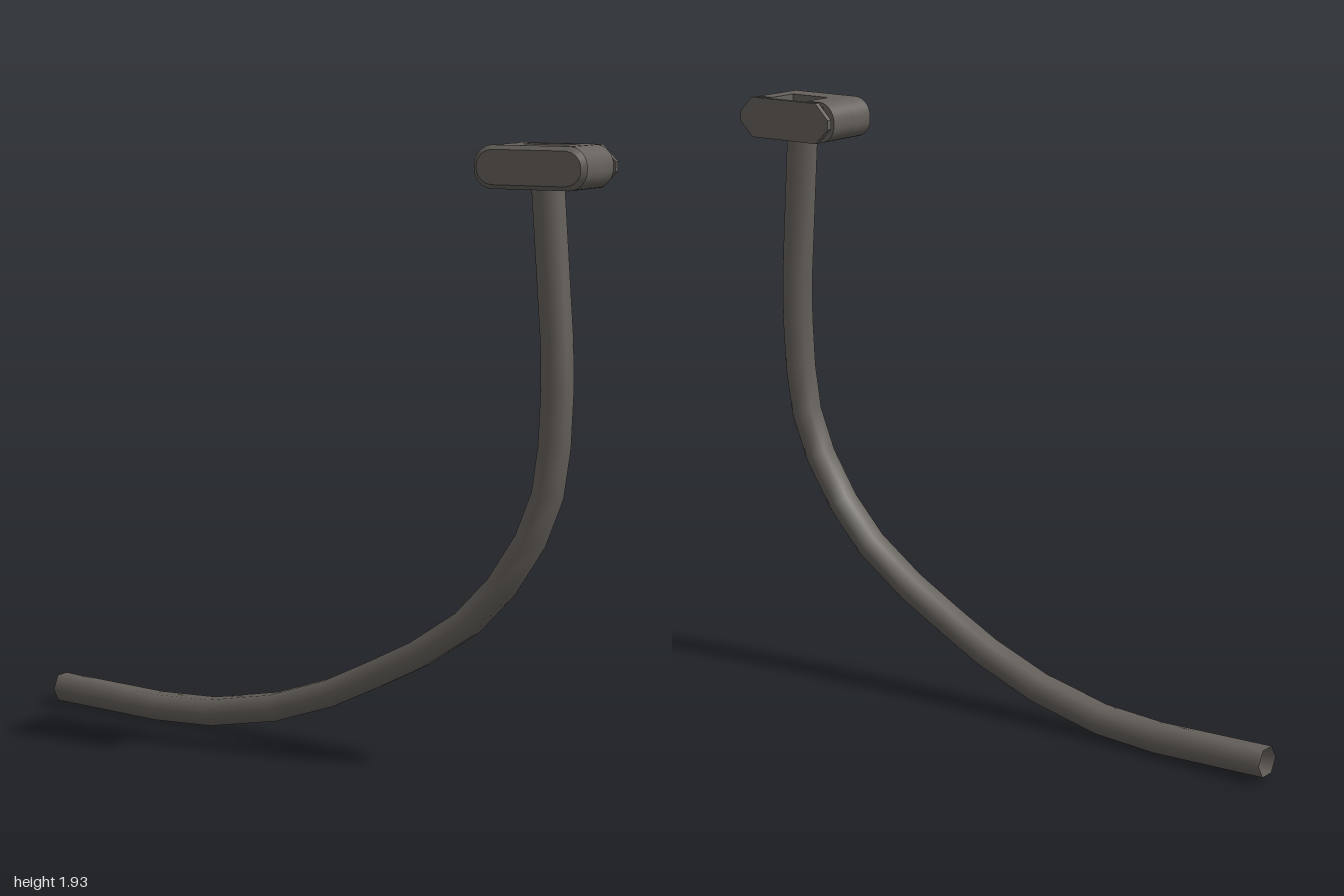
import * as THREE from 'three';
import { toCreasedNormals } from 'three/addons/utils/BufferGeometryUtils.js';

const X0 = 0.623, X1 = 0.993, Y0 = 1.805, Y1 = 1.935;

// Rectangle with optionally rounded left and right ends
function block(x0, x1, rl, rr) {
  const s = new THREE.Shape();
  s.moveTo(x0 + rl, Y0);
  s.lineTo(x1 - rr, Y0);
  if (rr) s.absarc(x1 - rr, Y0 + rr, rr, -Math.PI / 2, 0, false);
  s.lineTo(x1, Y1 - rr);
  if (rr) s.absarc(x1 - rr, Y1 - rr, rr, 0, Math.PI / 2, false);
  s.lineTo(x0 + rl, Y1);
  if (rl) s.absarc(x0 + rl, Y1 - rl, rl, Math.PI / 2, Math.PI, false);
  s.lineTo(x0, Y0 + rl);
  if (rl) s.absarc(x0 + rl, Y0 + rl, rl, Math.PI, Math.PI * 1.5, false);
  return s;
}

function extrude(shape, z0, z1) {
  const g = new THREE.ExtrudeGeometry(shape, { depth: z1 - z0, bevelEnabled: false, curveSegments: 5 });
  g.translate(0, 0, z0);
  return toCreasedNormals(g, 0.6);
}

// Open six-sided tube following a bent path
function hoseGeometry(path, radius, sides) {
  const pts = path.map(p => new THREE.Vector3(...p));
  const pos = [], idx = [];
  const zAxis = new THREE.Vector3(0, 0, 1);
  pts.forEach((c, i) => {
    const t = pts[Math.min(i + 1, pts.length - 1)].clone().sub(pts[Math.max(i - 1, 0)]);
    if (i === 0) t.set(1, 0, 0);
    t.z = 0;
    const n = zAxis.clone().cross(t.normalize());
    for (let j = 0; j < sides; j++) {
      const a = j / sides * Math.PI * 2;
      const p = c.clone().addScaledVector(zAxis, radius * Math.cos(a)).addScaledVector(n, radius * Math.sin(a));
      pos.push(p.x, p.y, p.z);
      if (i < pts.length - 1) {
        const k = (j + 1) % sides, A = i * sides, B = A + sides;
        idx.push(A + j, B + j, A + k, B + j, B + k, A + k);
      }
    }
  });
  const g = new THREE.BufferGeometry();
  g.setAttribute('position', new THREE.Float32BufferAttribute(pos, 3));
  g.setIndex(idx);
  g.computeVertexNormals();
  return g;
}

export function createModel() {
  const group = new THREE.Group();
  const rubber = new THREE.MeshStandardMaterial({ color: 0x66615c, side: THREE.DoubleSide });
  rubber.name = 'dark grey rubber';
  const add = (name, geometry, parent = group) => {
    const m = new THREE.Mesh(geometry, rubber);
    m.name = name;
    parent.add(m);
    return m;
  };

  // Curved hose, open at both ends
  add('hose', hoseGeometry([
    [-1, 0.06, -0.03], [-0.6, 0.045, -0.022], [-0.38, 0.055, -0.015], [-0.13, 0.105, -0.006],
    [0.08, 0.18, 0], [0.24, 0.26, 0.002], [0.4, 0.345, 0.004], [0.565, 0.46, 0.004], [0.68, 0.585, 0.002],
    [0.775, 0.735, 0], [0.83, 0.88, -0.003], [0.85, 1.03, -0.006], [0.855, 1.2, -0.01],
    [0.85, 1.35, -0.013], [0.81, 1.81, -0.022], [0.808, 1.88, -0.025],
  ], 0.05, 6));

  // U-shaped clamp around the hose end
  const clamp = new THREE.Group();
  clamp.name = 'clamp';
  group.add(clamp);
  const r = 0.06;
  add('clampFront', extrude(block(X0, X1, r, r), 0.02, 0.098), clamp);
  add('leftProng', extrude(block(0.883, X1, 0, r), -0.085, 0.02), clamp);
  add('rightProng', extrude(block(X0, 0.733, r, 0), -0.085, 0.02), clamp);

  // Front face tapering slightly inward
  const cap = new THREE.ExtrudeGeometry(block(X0, X1, r, r), { depth: 0.014, bevelEnabled: false, curveSegments: 5 });
  const p = cap.attributes.position, cx = (X0 + X1) / 2, cy = (Y0 + Y1) / 2;
  for (let i = 0; i < p.count; i++) {
    if (p.getZ(i) > 0.007) {
      p.setX(i, cx + (p.getX(i) - cx) * 0.92);
      p.setY(i, cy + (p.getY(i) - cy) * 0.8);
    }
  }
  cap.translate(0, 0, 0.098);
  add('clampFrontBevel', toCreasedNormals(cap, 0.6), clamp);

  // Narrower pads joining the prongs to the back plate
  for (const [name, x0, x1] of [['leftPad', 0.89, 0.955], ['rightPad', 0.665, 0.727]]) {
    const pad = add(name, new THREE.BoxGeometry(x1 - x0, 0.1, 0.018), clamp);
    pad.position.set((x0 + x1) / 2, cy, -0.092);
  }

  // Back plate with cut corners
  const c = 0.05, plate = new THREE.Shape([
    [X0 + c, Y0], [X1 - c, Y0], [X1, Y0 + c], [X1, Y1 - c],
    [X1 - c, Y1], [X0 + c, Y1], [X0, Y1 - c], [X0, Y0 + c],
  ].map(q => new THREE.Vector2(...q)));
  add('backPlate', extrude(plate, -0.117, -0.1), clamp);

  return group;
}
